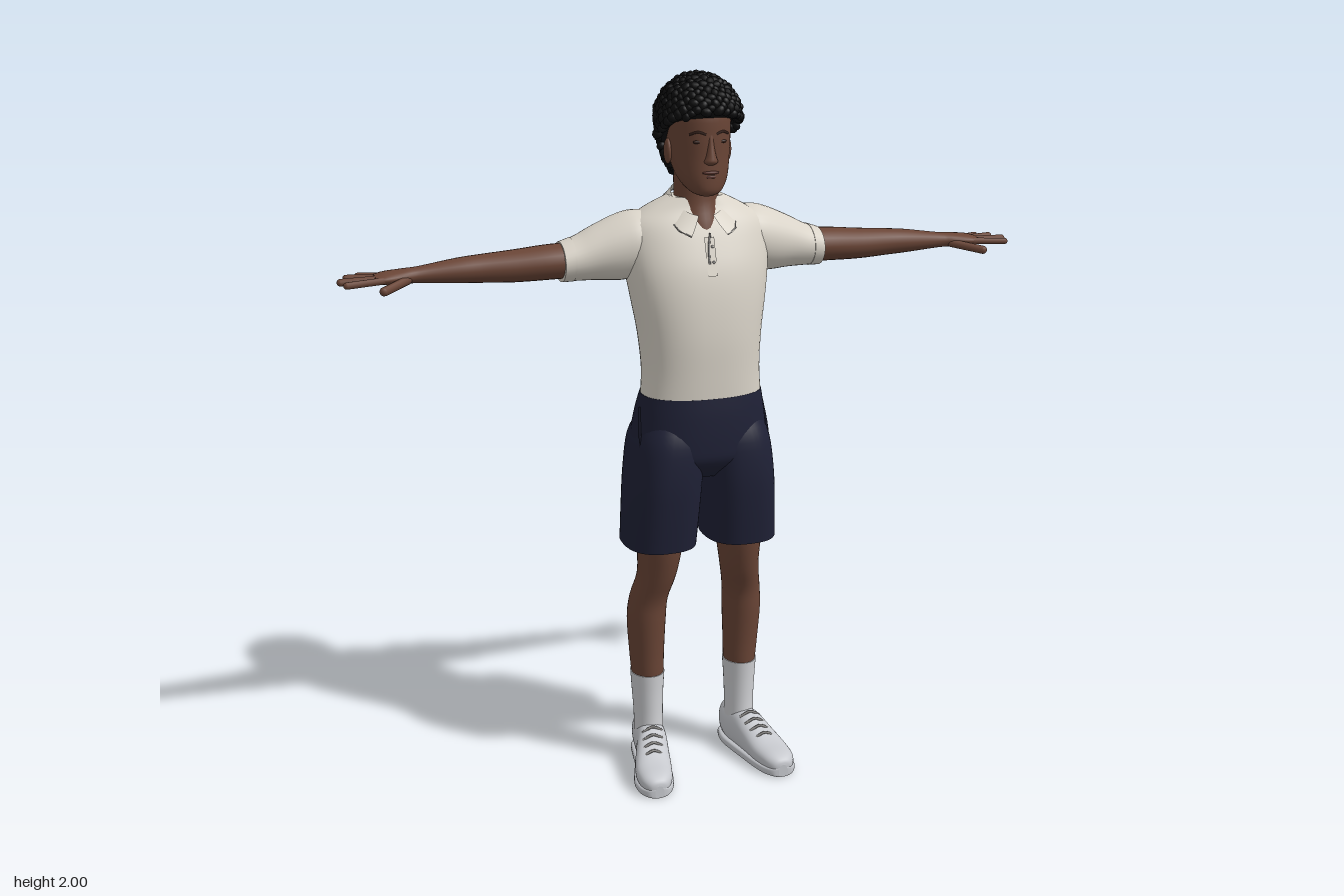
import * as THREE from 'three';
import { mergeGeometries } from 'three/addons/utils/BufferGeometryUtils.js';

const material = (name, color) => Object.assign(new THREE.MeshStandardMaterial({ color }), { name });

// Smooth curve through cross-section rows
function spline(rows, steps) {
  const out = [];
  for (let i = 0; i < rows.length - 1; i++) {
    const [a, b, c, d] = [i - 1, i, i + 1, i + 2].map(k => rows[Math.min(rows.length - 1, Math.max(0, k))]);
    for (let s = 0; s < steps; s++) {
      const t = s / steps;
      out.push(b.map((_, k) => b[k] + 0.5 * t * (c[k] - a[k]
        + t * (2 * a[k] - 5 * b[k] + 4 * c[k] - d[k] + t * (3 * (b[k] - c[k]) + d[k] - a[k])))));
    }
  }
  out.push(rows[rows.length - 1]);
  return out;
}

// Closed loft: rows are [t, centreA, centreB, radiusA, radiusB] along one axis.
// (A, B) is (x, z) for axis y, (z, y) for axis x and (y, x) for axis z.
function loft(axis, rows, power = 2, n = 32, steps = 4) {
  const place = { y: (t, a, b) => [a, t, b], x: (t, a, b) => [t, b, a], z: (t, a, b) => [b, a, t] }[axis];
  const rings = spline(rows, steps), pos = [], idx = [];
  const bend = v => Math.sign(v) * Math.abs(v) ** (2 / power);
  const ring = ([t, a, b, ra, rb]) => {
    for (let j = 0; j < n; j++) {
      const q = (j / n) * Math.PI * 2;
      pos.push(...place(t, a + ra * bend(Math.cos(q)), b + rb * bend(Math.sin(q))));
    }
  };
  rings.forEach(ring);
  for (let i = 0; i < rings.length - 1; i++) for (let j = 0; j < n; j++) {
    const k = (j + 1) % n, p = i * n, q = p + n;
    idx.push(p + j, q + j, p + k, q + j, q + k, p + k);
  }
  [rings[0], rings[rings.length - 1]].forEach((r, end) => {
    const base = pos.length / 3;
    ring(r);
    pos.push(...place(r[0], r[1], r[2]));
    for (let j = 0; j < n; j++) {
      const k = (j + 1) % n;
      idx.push(base + n, base + (end ? k : j), base + (end ? j : k));
    }
  });
  const g = new THREE.BufferGeometry();
  g.setAttribute('position', new THREE.Float32BufferAttribute(pos, 3));
  g.setIndex(idx);
  g.computeVertexNormals();
  return g;
}

// Open surface from a rule (u, v) -> [x, y, z]
function sheet(rule, nu, nv) {
  const g = new THREE.PlaneGeometry(1, 1, nu, nv), p = g.attributes.position;
  for (let i = 0; i < p.count; i++) p.setXYZ(i, ...rule(p.getX(i) + 0.5, p.getY(i) + 0.5));
  g.computeVertexNormals();
  return g;
}

function capsule(from, to, r) {
  const a = new THREE.Vector3(...from), b = new THREE.Vector3(...to), d = b.clone().sub(a);
  const g = new THREE.CapsuleGeometry(r, d.length(), 5, 10);
  g.applyQuaternion(new THREE.Quaternion().setFromUnitVectors(new THREE.Vector3(0, 1, 0), d.clone().normalize()));
  return g.translate(...a.add(b).multiplyScalar(0.5).toArray());
}

const ball = (x, y, z, rx, ry, rz) => new THREE.SphereGeometry(1, 16, 12).scale(rx, ry, rz).translate(x, y, z);
const tube = (points, r) => new THREE.TubeGeometry(
  new THREE.CatmullRomCurve3(points.map(p => new THREE.Vector3(...p))), 16, r, 6);

function mirrored(geometry) {
  const g = geometry.clone().scale(-1, 1, 1), i = g.index.array;
  for (let k = 0; k < i.length; k += 3) [i[k], i[k + 1]] = [i[k + 1], i[k]];
  return g;
}

export function createModel() {
  const model = new THREE.Group();
  model.name = 'standingFigure';
  const skin = material('skin', 0x6a4536), lip = material('lips', 0x5a352e), dark = material('eyes', 0x33201a);
  const shirt = material('shirt', 0xd9d3c8), shorts = material('shorts', 0x1f2136), seam = material('seam', 0x141524);
  const hair = material('hair', 0x0b0b0c), sock = material('sock', 0xcfd0d3);
  const shoe = material('shoe', 0xc6c8cd), trim = material('trim', 0x8c8a88);
  shirt.side = THREE.DoubleSide;

  const add = (name, geometry, mat) => {
    const m = new THREE.Mesh(geometry, mat);
    m.name = name;
    model.add(m);
  };
  const pair = (name, geometry, mat) => {
    add(name + 'Left', geometry, mat);
    add(name + 'Right', mirrored(geometry), mat);
  };

  // Head, neck and face
  add('head', loft('y', [[1.678, 0, 0.04, 0.018, 0.022], [1.69, 0, 0.032, 0.042, 0.046], [1.725, 0, 0.005, 0.066, 0.076],
    [1.78, 0, -0.02, 0.078, 0.1], [1.84, 0, -0.025, 0.082, 0.106], [1.9, 0, -0.025, 0.08, 0.102], [1.95, 0, -0.025, 0.05, 0.06]], 2.15), skin);
  add('neck', loft('y', [[1.55, 0, -0.005, 0.045, 0.062], [1.6, 0, -0.025, 0.06, 0.068],
    [1.66, 0, -0.04, 0.06, 0.062], [1.75, 0, -0.045, 0.06, 0.065]]), skin);
  add('nose', loft('y', [[1.762, 0, 0.074, 0.01, 0.01], [1.77, 0, 0.077, 0.019, 0.019], [1.785, 0, 0.077, 0.014, 0.017],
    [1.815, 0, 0.074, 0.009, 0.012], [1.845, 0, 0.073, 0.008, 0.007]], 2, 16), skin);
  add('upperLip', ball(0, 1.742, 0.073, 0.025, 0.006, 0.012), lip);
  add('lowerLip', ball(0, 1.731, 0.071, 0.021, 0.007, 0.012), lip);
  pair('eye', ball(0.032, 1.822, 0.069, 0.015, 0.005, 0.006), dark);
  pair('brow', tube([[0.014, 1.842, 0.078], [0.034, 1.848, 0.073], [0.053, 1.841, 0.059]], 0.0035), dark);
  pair('ear', ball(0.084, 1.79, -0.028, 0.01, 0.034, 0.02).rotateY(0), skin);

  // Curly hair: scalp mass covered with small curls above the hairline
  add('hairMass', loft('y', [[1.718, 0, -0.1, 0.055, 0.04], [1.79, 0, -0.097, 0.085, 0.056], [1.85, 0, -0.07, 0.1, 0.085],
    [1.89, 0, -0.03, 0.105, 0.118], [1.94, 0, -0.025, 0.092, 0.11], [1.975, 0, -0.025, 0.045, 0.055], [1.983, 0, -0.025, 0.01, 0.01]]), hair);
  const curls = [], count = 520;
  let seed = 7;
  const random = () => (seed = (seed * 16807) % 2147483647) / 2147483647;
  for (let i = 0; i < count; i++) {
    const h = 1 - 2 * (i + 0.5) / count, s = Math.sqrt(1 - h * h), q = i * 2.39996;
    const x = 0.107 * s * Math.cos(q), y = 1.868 + h * (h > 0 ? 0.115 : 0.165), z = -0.022 + 0.128 * s * Math.sin(q);
    const hairline = z > -0.055 ? 1.845 + (z + 0.02) * 0.45 : 1.722;
    if (y < hairline) continue;
    const r = 0.012 + 0.006 * random();
    curls.push(new THREE.IcosahedronGeometry(r, 1).scale(1, 0.8, 1)
      .rotateZ(random() * 3).translate(x, y, z));
  }
  add('curls', mergeGeometries(curls), hair);

  // Polo shirt
  add('shirtBody', loft('y', [[1.125, 0, -0.005, 0.17, 0.115], [1.2, 0, -0.006, 0.165, 0.119], [1.3, 0, -0.015, 0.172, 0.13],
    [1.4, 0, -0.027, 0.188, 0.134], [1.48, 0, -0.041, 0.2, 0.132], [1.55, 0, -0.054, 0.203, 0.118],
    [1.6, 0, -0.06, 0.19, 0.1], [1.637, 0, -0.06, 0.14, 0.078], [1.668, 0, -0.052, 0.078, 0.06]], 2.3, 48), shirt);
  pair('sleeve', loft('x', [[0.08, -0.065, 1.545, 0.07, 0.08], [0.16, -0.072, 1.542, 0.088, 0.09], [0.21, -0.077, 1.533, 0.088, 0.09],
    [0.28, -0.08, 1.52, 0.076, 0.073], [0.325, -0.08, 1.509, 0.069, 0.061], [0.365, -0.08, 1.502, 0.065, 0.053]]), shirt);
  pair('sleeveCuff', loft('x', [[0.342, -0.08, 1.506, 0.069, 0.059], [0.372, -0.08, 1.501, 0.066, 0.054]]), shirt);
  // Folded collar, open at the front
  const collar = (u, v) => {
    const a = 0.3 + u * (Math.PI * 2 - 0.6), back = (1 - Math.cos(a)) / 2, point = Math.max(0, Math.cos(a)) ** 4;
    const r = 0.068 + 0.03 * v;
    return [r * Math.sin(a) * (1 + 0.9 * v * point), 1.622 + 0.083 * back - v * (0.032 + 0.022 * point),
      -0.035 + (0.078 + 0.026 * v) * Math.cos(a) + 0.008 * v * point];
  };
  add('collar', sheet(collar, 48, 4), shirt);
  add('collarEdge', tube(Array.from({ length: 25 }, (_, i) => collar(i / 24, 1)), 0.002), trim);
  const placket = (y, x) => [x, y, 0.071 + (1.55 - y) * 0.33];
  add('placket', sheet((u, v) => placket(1.47 + v * 0.1, (u - 0.5) * 0.028), 1, 4), shirt);
  add('placketOpening', tube([placket(1.58, 0.004), placket(1.54, -0.004), placket(1.5, -0.006)], 0.003), trim);
  for (const y of [1.545, 1.505]) add('button', ball(...placket(y, 0.006), 0.004, 0.004, 0.003), trim);

  // Arms and hands
  pair('arm', loft('x', [[0.3, -0.08, 1.505, 0.055, 0.047], [0.4, -0.08, 1.503, 0.057, 0.047], [0.5, -0.082, 1.498, 0.05, 0.043],
    [0.58, -0.083, 1.497, 0.043, 0.038], [0.65, -0.082, 1.496, 0.039, 0.033], [0.75, -0.078, 1.493, 0.027, 0.022],
    [0.79, -0.076, 1.492, 0.033, 0.02], [0.84, -0.076, 1.49, 0.042, 0.017], [0.868, -0.076, 1.489, 0.039, 0.011]], 2, 24), skin);
  const fingers = [
    ['indexFinger', [0.85, 1.489, -0.043], [0.944, 1.485, -0.031], 0.0095], ['middleFinger', [0.85, 1.49, -0.066], [0.955, 1.487, -0.069], 0.0098],
    ['ringFinger', [0.85, 1.49, -0.089], [0.935, 1.489, -0.11], 0.0093], ['littleFinger', [0.84, 1.49, -0.106], [0.902, 1.489, -0.134], 0.0083],
    ['thumb', [0.785, 1.485, -0.055], [0.856, 1.471, 0.004], 0.012]];
  for (const [name, from, to, r] of fingers) pair(name, capsule(from, to, r), skin);

  // Shorts
  add('shortsTop', loft('y', [[0.9, 0, -0.027, 0.12, 0.09], [0.95, 0, -0.027, 0.19, 0.134], [1.0, 0, -0.027, 0.193, 0.142],
    [1.08, 0, -0.017, 0.182, 0.132], [1.135, 0, -0.007, 0.171, 0.118]], 2.3, 48), shorts);
  pair('shortsLeg', loft('y', [[0.695, 0.119, -0.033, 0.102, 0.122], [0.8, 0.113, -0.028, 0.103, 0.133],
    [0.9, 0.106, -0.026, 0.103, 0.141], [1.0, 0.095, -0.027, 0.1, 0.138], [1.06, 0.085, -0.02, 0.085, 0.11]], 2.5, 40), shorts);
  pair('pocketSeam', tube([[0.178, 1.1, 0.0], [0.186, 1.02, 0.026], [0.187, 0.94, 0.045]], 0.004), seam);

  // Legs, socks and shoes
  pair('leg', loft('y', [[0.2, 0.143, -0.067, 0.04, 0.048], [0.28, 0.143, -0.067, 0.046, 0.056], [0.35, 0.145, -0.066, 0.05, 0.06],
    [0.45, 0.146, -0.0625, 0.055, 0.067], [0.52, 0.141, -0.053, 0.054, 0.066], [0.6, 0.125, -0.026, 0.055, 0.069],
    [0.7, 0.118, -0.017, 0.064, 0.086], [0.8, 0.115, -0.02, 0.075, 0.095]]), skin);
  pair('sock', loft('y', [[0.09, 0.142, -0.063, 0.042, 0.054], [0.15, 0.142, -0.065, 0.042, 0.052],
    [0.22, 0.143, -0.067, 0.045, 0.055], [0.283, 0.143, -0.067, 0.049, 0.059]]), sock);
  const shoeRows = [[-0.138, 0.062, 0.138, 0.03, 0.018], [-0.125, 0.066, 0.138, 0.055, 0.036], [-0.07, 0.066, 0.14, 0.058, 0.046],
    [-0.01, 0.068, 0.15, 0.061, 0.047], [0.04, 0.056, 0.164, 0.048, 0.051], [0.1, 0.042, 0.179, 0.034, 0.054],
    [0.15, 0.037, 0.186, 0.028, 0.046], [0.177, 0.031, 0.188, 0.02, 0.028], [0.183, 0.029, 0.188, 0.008, 0.01]];
  pair('shoe', loft('z', shoeRows, 2.4), shoe);
  pair('shoeSole', loft('z', shoeRows.map(([z, , x, , r]) => [z, 0.0145, x, 0.0145, r + 0.004]), 4), shoe);
  for (let i = 0; i < 4; i++) {
    const z = 0.0 + i * 0.024, x = 0.152 + i * 0.0065, y = 0.131 - i * 0.0125;
    pair('lace', tube([[x - 0.03, y - 0.016, z], [x, y, z + 0.004], [x + 0.03, y - 0.016, z]], 0.004), trim);
  }
  return model;
}
